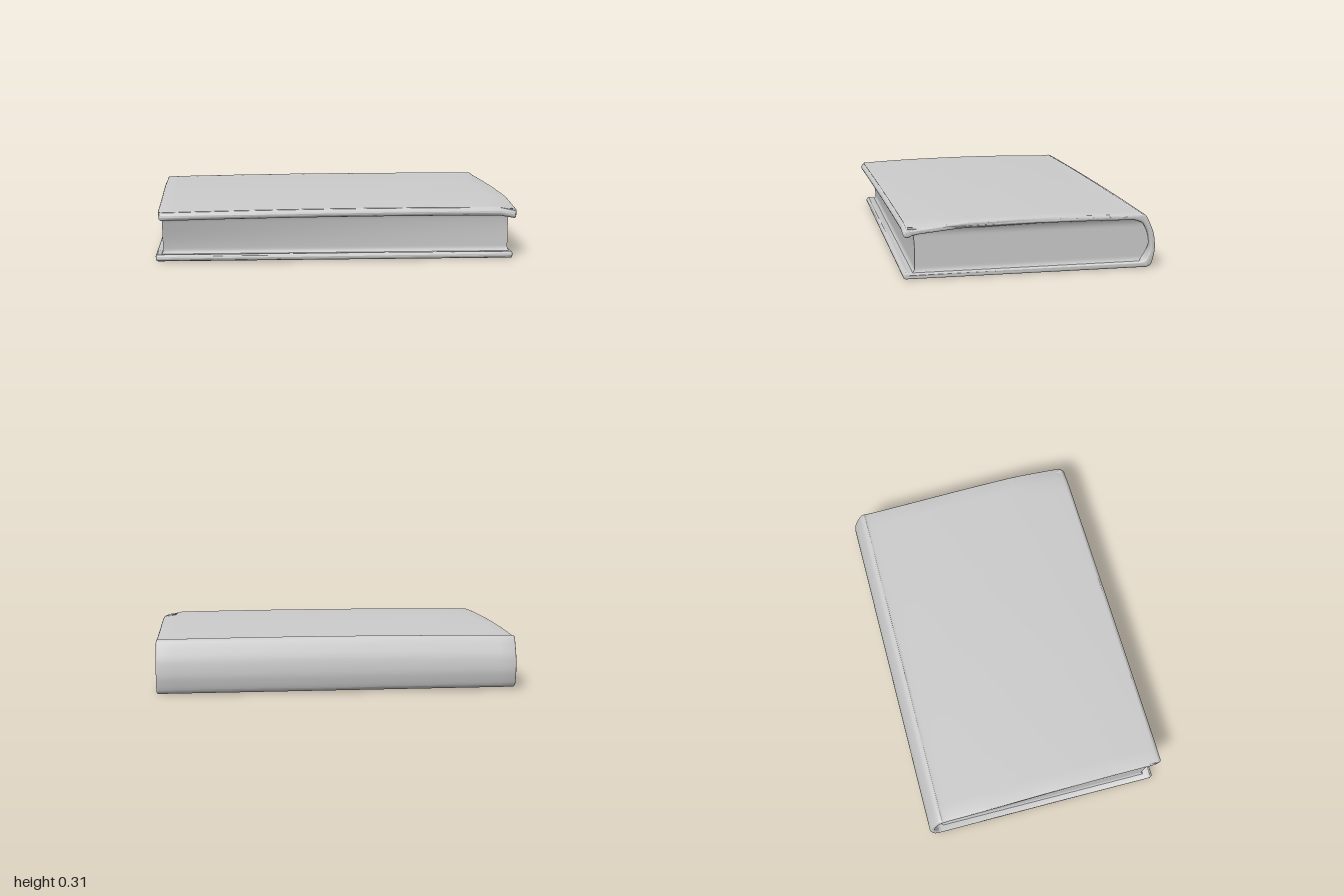
import * as THREE from 'three';
import { toCreasedNormals } from 'three/addons/utils/BufferGeometryUtils.js';

const material = new THREE.MeshStandardMaterial({ color: 0xcccccc });
const v2 = (pts) => pts.map(([x, y]) => new THREE.Vector2(x, y));
const smooth = THREE.MathUtils.smoothstep;

// Move every vertex by a rule
function warp(geometry, rule) {
  const pos = geometry.attributes.position;
  const p = new THREE.Vector3();
  for (let i = 0; i < pos.count; i++) {
    p.fromBufferAttribute(pos, i);
    rule(p);
    pos.setXYZ(i, p.x, p.y, p.z);
  }
  return geometry;
}

// Slight wear shared by cover and pages: skewed front edge, bowed boards
function wear(p) {
  const front = (p.z + 0.68) / 1.36;
  const high = smooth(p.y, 0.03, 0.27);
  p.z -= p.x * THREE.MathUtils.lerp(0.008, 0.018 * high, front);
  p.y += (1 - high) * 0.005 * (1 - p.x) - high * 0.008 * p.x * p.x;
}

function makeCover() {
  // C-shaped section: back board, rounded spine, front board
  const s = new THREE.Shape();
  s.moveTo(-0.64, 0.004);
  s.lineTo(0.645, 0.004);
  s.splineThru(v2([[0.67, 0.02], [0.685, 0.07], [0.69, 0.12], [0.682, 0.19], [0.66, 0.25], [0.635, 0.295], [0.612, 0.305]]));
  s.splineThru(v2([[0.57, 0.302], [0.3, 0.309], [0, 0.312], [-0.35, 0.308], [-0.62, 0.297], [-0.655, 0.29], [-0.67, 0.27], [-0.66, 0.25], [-0.64, 0.25]]));
  s.splineThru(v2([[-0.61, 0.265], [-0.5, 0.272], [0, 0.28], [0.57, 0.272]]));
  s.splineThru(v2([[0.62, 0.25], [0.65, 0.19], [0.66, 0.11], [0.64, 0.05], [0.61, 0.036]]));
  s.lineTo(-0.62, 0.036);
  s.splineThru(v2([[-0.64, 0.04], [-0.653, 0.028], [-0.651, 0.012], [-0.64, 0.004]]));
  const length = 1.97, bevel = 0.01;
  const g = new THREE.ExtrudeGeometry(s, {
    depth: length - 2 * bevel, steps: 24, curveSegments: 24,
    bevelSize: bevel, bevelThickness: bevel, bevelOffset: -bevel, bevelSegments: 3,
  });
  g.translate(0, 0, bevel - length / 2).rotateY(Math.PI / 2);
  warp(g, (p) => {
    const high = smooth(p.y, 0.15, 0.27), front = smooth(p.z, -0.6, 0.6);
    // Rounded outer corners
    const corner = smooth(p.z, 0.58, 0.68);
    p.x *= 1 - 0.015 * corner * corner;
    // Boards drift apart towards the fore edge; one corner droops
    p.x += -0.008 + 0.02 * high * front;
    p.y -= 0.018 * high * smooth(p.x, 0.9, 1) * smooth(p.z, 0.3, 0.65);
    wear(p);
  });
  const mesh = new THREE.Mesh(toCreasedNormals(g, 0.7), material);
  mesh.name = 'cover';
  return mesh;
}

function makePages() {
  const y0 = 0.025, y1 = 0.285;
  const g = new THREE.BoxGeometry(2, 1, 2, 24, 24, 24);
  warp(g, (p) => {
    const t = p.y + 0.5;
    // Edges flare where the paper meets the boards
    const flare = Math.pow(Math.max(0, 1 - t / 0.12), 2) + Math.pow(Math.max(0, (t - 0.8) / 0.2), 2);
    const fore = 0.592 + 0.03 * t * t + 0.025 * flare;
    const spine = -0.6 - 0.06 * Math.sin(Math.PI * t);
    p.z = THREE.MathUtils.lerp(spine, fore, (p.z + 1) / 2);
    p.x *= 0.952 + 0.018 * flare;
    p.y = THREE.MathUtils.lerp(y0, y1, t);
    wear(p);
  });
  const mesh = new THREE.Mesh(toCreasedNormals(g, 0.7), material);
  mesh.name = 'pages';
  return mesh;
}

export function createModel() {
  const book = new THREE.Group();
  book.name = 'book';
  book.add(makeCover(), makePages());
  return book;
}
